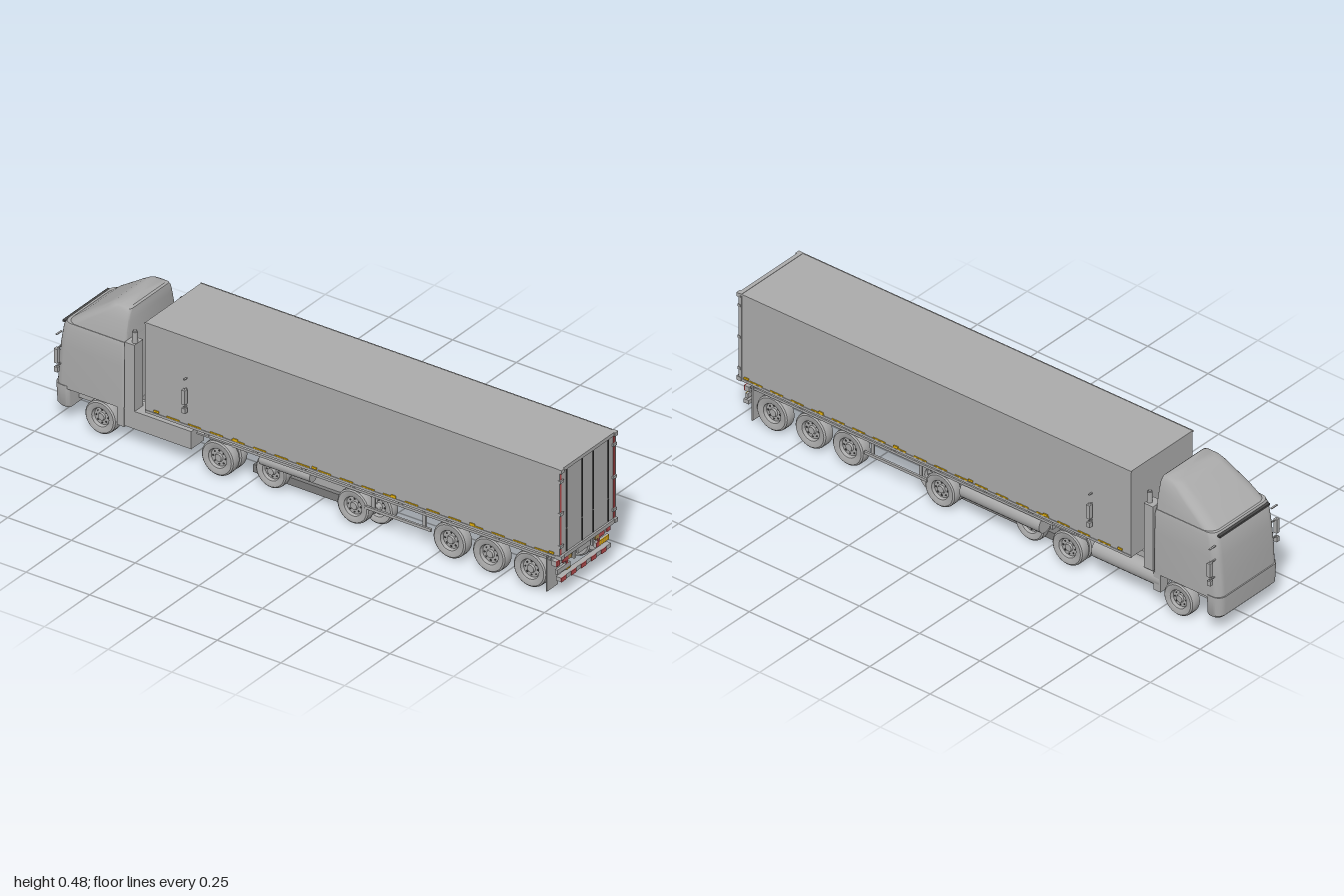
import * as THREE from 'three';
import { toCreasedNormals } from 'three/addons/utils/BufferGeometryUtils.js';

const flat = (name, color) => {
  const m = new THREE.MeshStandardMaterial({ color });
  m.name = name;
  return m;
};

export function createModel() {
  const model = new THREE.Group();
  model.name = 'articulatedLorry';
  const grey = flat('grey paint', 0xababab);
  const underGrey = flat('underside grey', 0x7c7c7c);
  const dark = flat('dark trim', 0x484848);
  const red = flat('red reflector', 0xb94c4e);
  const yellow = flat('yellow marker', 0xf0b90c);
  const amber = flat('amber lamp', 0xa88a4c);

  const add = (name, geo, mat = grey) => {
    const m = new THREE.Mesh(geo, mat);
    m.name = name;
    model.add(m);
    return m;
  };
  // box given by its extents on each axis
  const box = (name, x0, x1, y0, y1, z0, z1, mat) => {
    const m = add(name, new THREE.BoxGeometry(x1 - x0, y1 - y0, z1 - z0), mat);
    m.position.set((x0 + x1) / 2, (y0 + y1) / 2, (z0 + z1) / 2);
  };
  const pair = (name, x0, x1, ...rest) => {
    box(name + 'Left', x0, x1, ...rest);
    box(name + 'Right', -x1, -x0, ...rest);
  };
  // horizontal or upright round bar
  const bar = (name, r, len, axis, x, y, z) => {
    const g = new THREE.CylinderGeometry(r, r, len, 20);
    if (axis === 'x') g.rotateZ(Math.PI / 2);
    if (axis === 'z') g.rotateX(Math.PI / 2);
    add(name, g).position.set(x, y, z);
  };
  // rounded rectangles [y, halfWidth, zFront, zBack, radius] skinned upwards
  const loft = (name, sections) => {
    const n = 6, pos = [], idx = [], ring = 4 * (n + 1);
    for (const [y, hw, zf, zb, r] of sections) {
      for (let c = 0; c < 4; c++) for (let k = 0; k <= n; k++) {
        const a = (c + k / n) * Math.PI / 2;
        const back = c < 2, rr = back ? Math.min(r, 0.012) : r;
        const sx = c === 0 || c === 3 ? 1 : -1;
        pos.push(sx * (hw - rr) + rr * Math.cos(a), y, (back ? zb - rr : zf + rr) + rr * Math.sin(a));
      }
    }
    const rows = sections.length;
    for (let i = 0; i < rows - 1; i++) for (let j = 0; j < ring; j++) {
      const a = i * ring + j, b = i * ring + (j + 1) % ring;
      idx.push(a, a + ring, b + ring, a, b + ring, b);
    }
    for (const i of [0, rows - 1]) {
      const [y, , zf, zb] = sections[i], centre = pos.length / 3;
      pos.push(0, y, (zf + zb) / 2);
      for (let j = 0; j < ring; j++) {
        const a = i * ring + j, b = i * ring + (j + 1) % ring;
        if (i) idx.push(centre, b, a); else idx.push(centre, a, b);
      }
    }
    const g = new THREE.BufferGeometry();
    g.setAttribute('position', new THREE.Float32BufferAttribute(pos, 3));
    g.setIndex(idx);
    add(name, toCreasedNormals(g, 0.6));
  };

  // trailer body with rails and marker tape along its lower edges
  box('trailerBody', -0.154, 0.154, 0.15, 0.479, -0.635, 0.985);
  pair('roofTrim', 0.153, 0.156, 0.474, 0.48, -0.637, 0.985);
  pair('lowerRail', 0.15, 0.156, 0.148, 0.157, -0.635, 0.99);
  for (let z = 0.96; z > -0.62; z -= 0.31)
    pair('sideMarker', 0.153, 0.1575, 0.161, 0.168, z - 0.009, z + 0.009, yellow);
  for (let z = 0.92; z > -0.6; z -= 0.085)
    pair('sideDash', 0.153, 0.1565, 0.158, 0.162, z - 0.025, z + 0.025, yellow);

  // rear doors, frame, lock rods and hinges
  box('doorHeader', -0.155, 0.155, 0.467, 0.48, 0.98, 0.995);
  box('doorSill', -0.157, 0.157, 0.146, 0.16, 0.98, 0.997);
  box('doors', -0.143, 0.143, 0.16, 0.467, 0.98, 0.99);
  pair('cornerPost', 0.153, 0.155, 0.16, 0.467, 0.98, 0.992);
  pair('redStrip', 0.143, 0.153, 0.16, 0.467, 0.984, 0.991, red);
  for (const x of [0.03, 0.115]) for (const [y0, y1] of [[0.162, 0.244], [0.248, 0.465]])
    pair('lockRod', x - 0.002, x + 0.002, y0, y1, 0.989, 0.993, dark);
  for (const y of [0.193, 0.313, 0.433]) pair('hinge', 0.137, 0.156, y - 0.005, y + 0.005, 0.985, 0.996);
  for (const y of [0.154, 0.473]) pair('cornerCasting', 0.14, 0.157, y - 0.007, y + 0.007, 0.985, 1);

  // rear light bar, plates and underrun bumper
  box('lightBar', -0.148, 0.148, 0.111, 0.13, 0.955, 0.972);
  pair('amberLamp', 0.065, 0.084, 0.111, 0.13, 0.972, 0.976, amber);
  pair('innerRedLamp', 0.084, 0.115, 0.111, 0.13, 0.972, 0.976, red);
  pair('outerRedLamp', 0.13, 0.148, 0.111, 0.13, 0.972, 0.976, red);
  box('numberPlate', -0.034, 0.034, 0.109, 0.129, 0.972, 0.978);
  pair('bumperHanger', 0.045, 0.055, 0.1, 0.15, 0.94, 0.978);
  pair('lampStalk', 0.083, 0.091, 0.097, 0.111, 0.97, 0.974, red);
  pair('rearPlate', 0.07, 0.142, 0.08, 0.097, 0.965, 0.974);
  box('rearPlateRightEdge', -0.092, -0.072, 0.076, 0.08, 0.97, 0.975, yellow);
  box('rearPlateYellow', 0.088, 0.14, 0.08, 0.097, 0.973, 0.976, yellow);
  box('rearPlateRed', 0.07, 0.088, 0.08, 0.097, 0.973, 0.976, red);
  for (let i = 0; i < 4; i++) {
    const x = 0.092 + i * 0.012;
    const stripe = new THREE.Shape([[0, 0], [0.003, 0], [0.008, 0.017], [0.005, 0.017]].map(p => new THREE.Vector2(...p)));
    add('warningStripe', new THREE.ShapeGeometry(stripe), amber).position.set(x, 0.08, 0.9765);
  }
  box('underrunBar', -0.138, 0.138, 0.055, 0.07, 0.965, 0.985);
  for (let i = 0; i < 5; i++) {
    const x = -0.124 + i * 0.055;
    box('underrunReflector', x - 0.014, x + 0.014, 0.055, 0.07, 0.984, 0.988, red);
  }
  pair('underrunArm', 0.08, 0.09, 0.06, 0.15, 0.94, 0.966);
  pair('mudflap', 0.092, 0.152, 0.012, 0.14, 0.936, 0.941);

  // trailer chassis, side guards and under tray
  pair('trailerBeam', 0.045, 0.06, 0.1, 0.15, -0.5, 0.95);
  for (let z = -0.4; z < 0.95; z += 0.19) box('crossMember', -0.145, 0.145, 0.132, 0.15, z - 0.008, z + 0.008);
  pair('upperSideRail', 0.138, 0.146, 0.127, 0.136, -0.3, 0.95);
  pair('sideGuard', 0.138, 0.146, 0.074, 0.084, 0.22, 0.48);
  for (const z of [0.25, 0.45]) pair('guardPost', 0.134, 0.14, 0.074, 0.15, z - 0.006, z + 0.006);
  box('underPanel', -0.085, 0.085, 0.02, 0.048, -0.26, 0.2, underGrey);
  box('underFrame', -0.07, 0.07, 0.048, 0.1, -0.24, 0.18);

  // wheels: a turned tyre with a dished rim and hub holes
  const profile = (r, w) => [
    [0.001, 0.7], [0.2, 0.7], [0.24, 0.4], [0.5, 0.35], [0.56, 0.85], [0.62, 0.95], [0.9, 1], [0.98, 0.8], [1, 0.6],
    [1, -0.6], [0.98, -0.8], [0.9, -1], [0.62, -0.95], [0.56, -0.6], [0.001, -0.5],
  ].reverse().map(([a, b]) => new THREE.Vector2(a * r, b * w / 2));
  const wheel = (side, xIn, xOut, z, r) => {
    const w = new THREE.Group();
    w.name = 'wheel';
    const width = xOut - xIn;
    const tyre = new THREE.Mesh(toCreasedNormals(new THREE.LatheGeometry(profile(r, width), 32), 0.5), grey);
    tyre.name = 'tyreAndRim';
    w.add(tyre);
    for (let i = 0; i < 8; i++) {
      const hole = new THREE.Mesh(new THREE.CylinderGeometry(r * 0.05, r * 0.05, 0.004, 8), dark);
      const a = i * Math.PI / 4;
      hole.name = 'rimHole';
      hole.position.set(Math.cos(a) * r * 0.38, width * 0.19, Math.sin(a) * r * 0.38);
      w.add(hole);
    }
    w.rotation.z = -side * Math.PI / 2;
    w.position.set(side * (xIn + xOut) / 2, r, z);
    model.add(w);
  };
  const axles = [
    [0.865, 0.064, [[0.1, 0.145]]], [0.705, 0.064, [[0.1, 0.145]]], [0.55, 0.064, [[0.1, 0.145]]],
    [0.17, 0.062, [[0.103, 0.143], [0.06, 0.098]]], [0.235, 0.06, [[0.06, 0.1]]], [-0.175, 0.06, [[0.07, 0.11]]],
    [-0.36, 0.063, [[0.103, 0.145], [0.06, 0.098]]], [-0.82, 0.06, [[0.1, 0.145]]],
  ];
  for (const [z, r, spans] of axles) {
    bar('axle', 0.012, 0.22, 'x', 0, r, z);
    for (const [a, b] of spans) for (const s of [-1, 1]) wheel(s, a, b, z, r);
  }

  // tractor chassis, fifth wheel, tanks and toolbox
  pair('tractorRail', 0.045, 0.06, 0.075, 0.115, -0.95, -0.2);
  box('fifthWheel', -0.08, 0.08, 0.115, 0.15, -0.43, -0.29);
  box('frontCrossMember', -0.09, 0.09, 0.07, 0.12, -0.95, -0.76);
  pair('driveMudguard', 0.1, 0.146, 0.129, 0.135, -0.44, -0.28);
  bar('trailerTank', 0.032, 0.33, 'z', 0.119, 0.098, -0.085);
  bar('fuelTank', 0.033, 0.28, 'z', 0.116, 0.098, -0.605);
  box('sideLocker', -0.146, -0.075, 0.065, 0.13, -0.73, -0.46);
  bar('airTank', 0.022, 0.2, 'z', -0.118, 0.108, -0.1);

  // cab, roof fairing, bumper and visor
  loft('cab', [
    [0.126, 0.148, -0.996, -0.72, 0.03], [0.2, 0.148, -0.993, -0.72, 0.03],
    [0.28, 0.147, -0.985, -0.72, 0.03], [0.35, 0.145, -0.974, -0.72, 0.03], [0.367, 0.141, -0.965, -0.722, 0.03],
  ]);
  loft('roofFairing', [
    [0.36, 0.14, -0.965, -0.722, 0.04], [0.4, 0.134, -0.915, -0.722, 0.04], [0.435, 0.126, -0.863, -0.722, 0.04],
    [0.462, 0.118, -0.822, -0.722, 0.035], [0.475, 0.11, -0.802, -0.724, 0.03], [0.48, 0.1, -0.785, -0.73, 0.025],
  ]);
  loft('bumper', [
    [0.055, 0.142, -0.988, -0.94, 0.025], [0.065, 0.148, -0.997, -0.94, 0.028],
    [0.12, 0.15, -1, -0.94, 0.03], [0.136, 0.15, -1, -0.94, 0.03],
  ]);
  box('sunVisor', -0.125, 0.125, 0.353, 0.36, -0.98, -0.968, dark);
  pair('doorStep', 0.11, 0.147, 0.06, 0.128, -0.75, -0.722);

  // air intake columns and stacks behind the cab
  pair('rearColumn', 0.1, 0.148, 0.13, 0.375, -0.72, -0.682);
  for (const s of [-1, 1]) {
    bar('exhaustStack', 0.009, 0.3, 'y', s * 0.13, 0.265, -0.692);
    bar('stackTip', 0.006, 0.05, 'y', s * 0.13, 0.395, -0.692);
  }

  // mirrors and stalks on the cab and on the trailer flank
  for (const [z, lift] of [[-0.972, -0.014], [-0.472, 0]]) {
    pair('mainMirror', 0.16, 0.1745, 0.239 + lift, 0.291 + lift, z - 0.007, z + 0.007);
    pair('lowerMirror', 0.16, 0.1735, 0.206 + lift, 0.224 + lift, z - 0.007, z + 0.007);
    pair('mirrorArmTop', 0.14, 0.168, 0.288 + lift, 0.292 + lift, z - 0.002, z + 0.002);
    pair('mirrorArmLow', 0.14, 0.168, 0.224 + lift, 0.228 + lift, z - 0.002, z + 0.002);
    pair('sideStalk', 0.14, 0.17, 0.327, 0.33, z - 0.003, z + 0.003);
  }
  return model;
}
